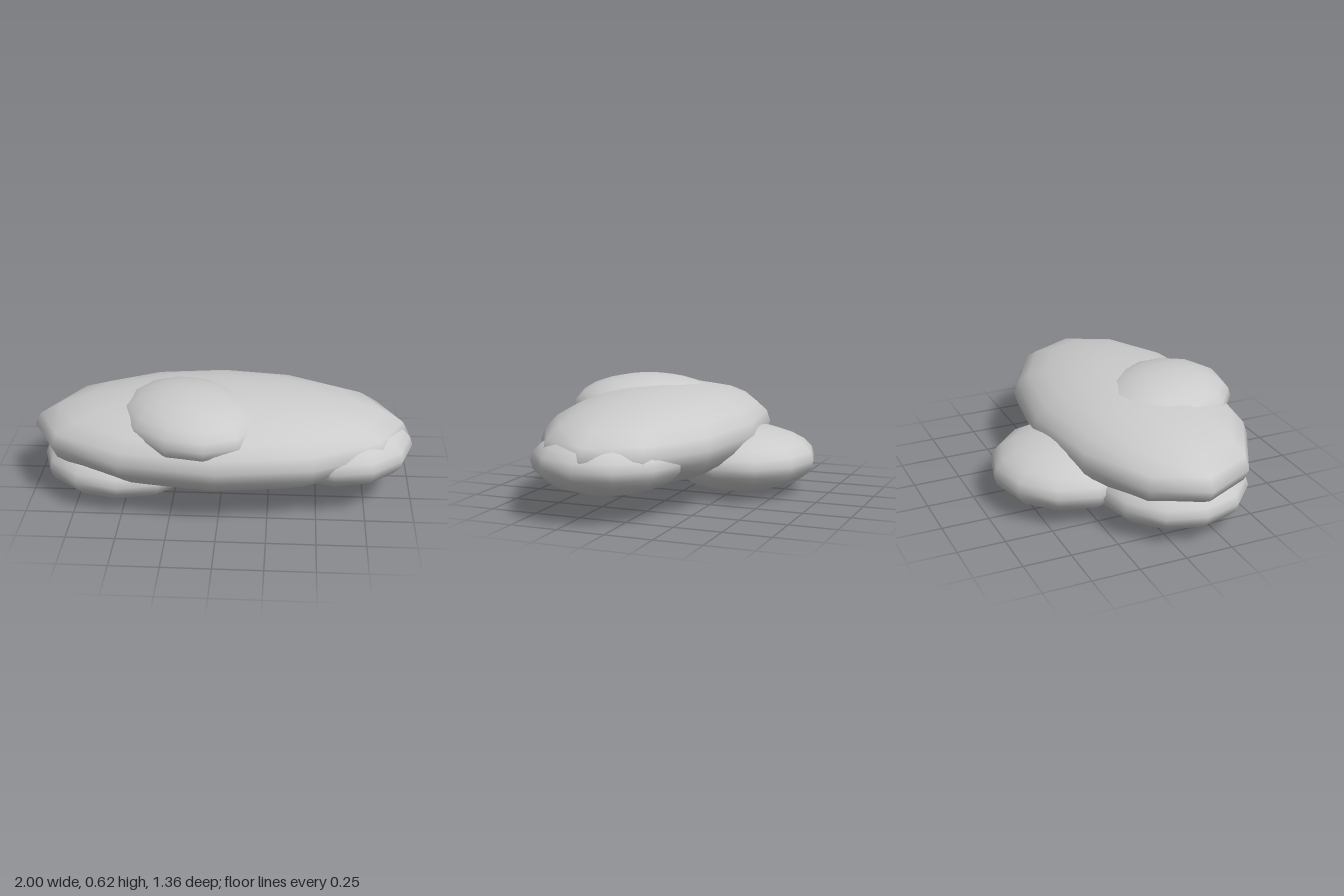
import * as THREE from 'three';

export function createModel() {
  const group = new THREE.Group();
  const material = new THREE.MeshStandardMaterial({ color: 0xcccccc });
  const ball = new THREE.SphereGeometry(1, 12, 12);

  // One flattened ball of the cloud: centre, radii and turn about y
  const puff = (name, position, radii, turn = 0) => {
    const mesh = new THREE.Mesh(ball, material);
    mesh.name = name;
    mesh.position.set(...position);
    mesh.scale.set(...radii);
    mesh.rotation.y = turn;
    group.add(mesh);
  };

  // Large central body
  puff('cloudBody', [-0.01, 0.335, 0.135], [0.99, 0.245, 0.54]);
  // Smaller puffs pushed into it
  puff('topPuff', [-0.16, 0.45, 0.28], [0.42, 0.17, 0.35], -0.87);
  puff('lowerRightPuff', [-0.52, 0.17, 0.14], [0.43, 0.165, 0.4]);
  puff('backPuff', [-0.165, 0.19, -0.27], [0.42, 0.175, 0.415]);
  puff('leftPuff', [0.6, 0.285, 0.155], [0.4, 0.17, 0.395], -0.04);

  return group;
}
